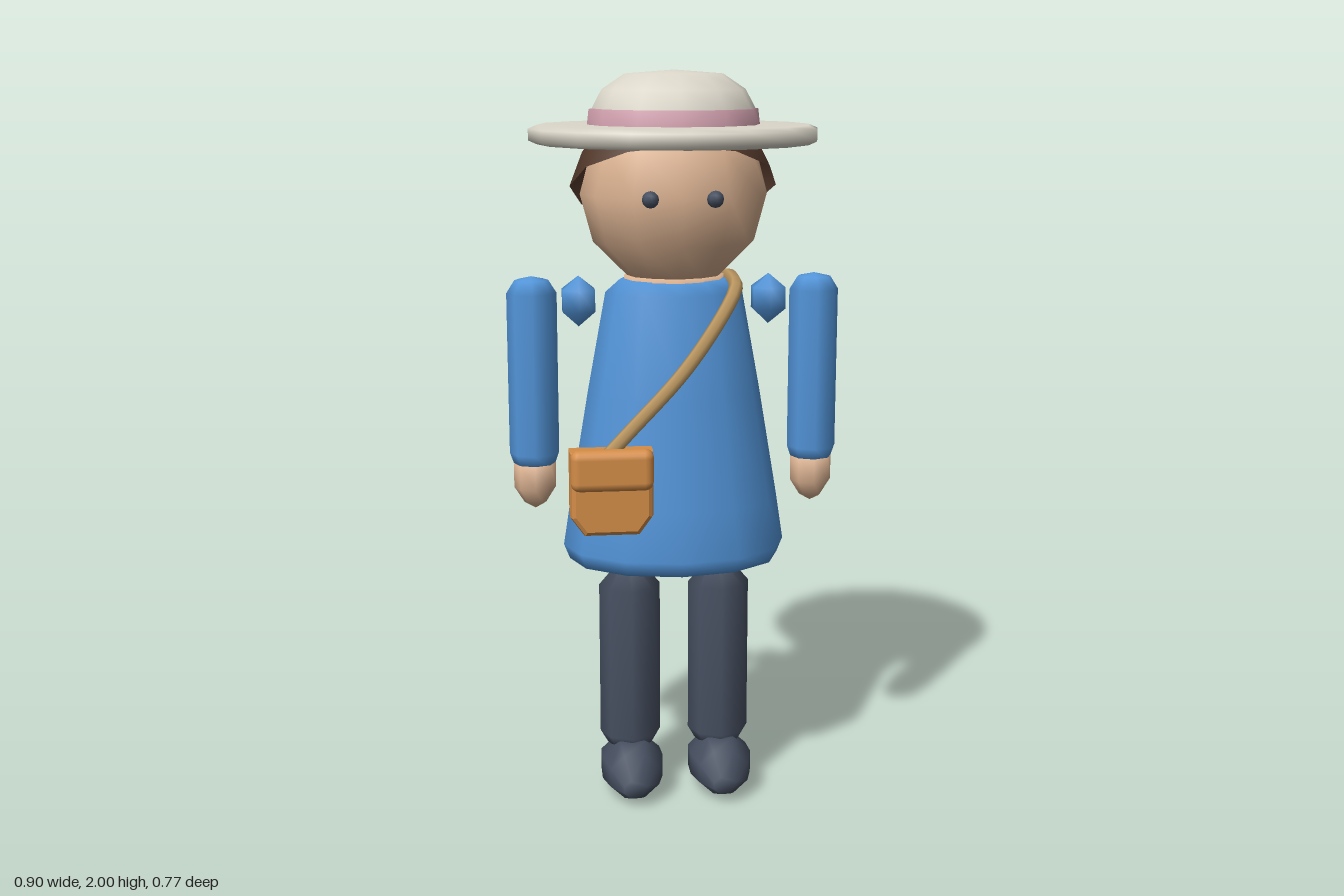
import * as THREE from 'three';
import { RoundedBoxGeometry } from 'three/addons/geometries/RoundedBoxGeometry.js';

const mat = (name, color, side = THREE.FrontSide) => {
  const m = new THREE.MeshStandardMaterial({ color, side });
  m.name = name;
  return m;
};

export function createModel() {
  const model = new THREE.Group();
  model.name = 'travellerFigure';
  const blue = mat('blueCloth', 0x5294d8);
  const cream = mat('creamFelt', 0xdcd7ca);
  const pink = mat('pinkRibbon', 0xd09fad);
  const brown = mat('brownHair', 0x553a2c, THREE.DoubleSide);
  const skin = mat('skin', 0xdcb392);
  const tan = mat('tanStrap', 0xb9955f);
  const orange = mat('orangeLeather', 0xd48d48);
  const slate = mat('slateCloth', 0x464f60);

  const add = (name, geo, material, x = 0, y = 0, z = 0) => {
    const mesh = new THREE.Mesh(geo, material);
    mesh.name = name;
    mesh.position.set(x, y, z);
    model.add(mesh);
    return mesh;
  };
  // Turned part from a [radius, height] profile, listed bottom to top
  const lathe = (pts, sides, depth = 1) =>
    new THREE.LatheGeometry(pts.map(([r, y]) => new THREE.Vector2(r, y)), sides).scale(1, 1, depth);

  // Closed loft along z; each section is [z, halfWidth, bottom, top]
  const loft = (sections, n) => {
    const pos = [], index = [];
    for (const [z, w, lo, hi] of sections) {
      for (let i = 0; i < n; i++) {
        const a = ((i + 0.5) / n) * Math.PI * 2;
        const k = 1 / Math.cos(Math.PI / n);
        pos.push(Math.cos(a) * w * k, (lo + hi) / 2 + Math.sin(a) * k * (hi - lo) / 2, z);
      }
    }
    for (let s = 0; s < sections.length - 1; s++) {
      for (let i = 0; i < n; i++) {
        const a = s * n + i, b = s * n + (i + 1) % n;
        index.push(a, b, b + n, a, b + n, a + n);
      }
    }
    const last = (sections.length - 1) * n;
    for (let i = 1; i < n - 1; i++) {
      index.push(0, i + 1, i, last, last + i, last + i + 1);
    }
    const geo = new THREE.BufferGeometry();
    geo.setAttribute('position', new THREE.Float32BufferAttribute(pos, 3));
    geo.setIndex(index);
    geo.computeVertexNormals();
    return geo;
  };

  // Hat
  add('hatBrim', lathe([[0, 1.81], [0.36, 1.81], [0.383, 1.82], [0.383, 1.85], [0.36, 1.86], [0.19, 1.86]], 16), cream);
  add('hatCrown', lathe([[0.225, 1.85], [0.217, 1.9], [0.19, 1.95], [0.13, 1.99], [0, 2]], 12, 0.95), cream);
  add('hatBand', lathe([[0.23, 1.85], [0.224, 1.9], [0.21, 1.902]], 12, 0.94), pink);

  // Head, hair cap tilted back, eyes and neck
  add('head', new THREE.SphereGeometry(0.25, 12, 6).scale(1, 1, 0.86), skin, 0, 1.68, 0);
  const hair = add('hair', new THREE.SphereGeometry(1, 12, 3, 0, Math.PI * 2, 0, Math.PI / 2).scale(0.276, 0.195, 0.257), brown, 0, 1.7, -0.012);
  hair.rotation.x = -0.46;
  add('neck', lathe([[0.13, 1.42], [0.135, 1.465], [0, 1.467]], 12, 0.8), skin);

  // Dress with a hollow hem
  add('dress', lathe([
    [0, 0.76], [0.22, 0.74], [0.25, 0.685], [0.29, 0.68], [0.306, 0.72],
    [0.286, 0.85], [0.235, 1.15], [0.185, 1.42], [0.145, 1.455], [0, 1.458],
  ], 12, 0.72), blue);

  // Paired parts
  for (const [label, s] of [['left', 1], ['right', -1]]) {
    add(label + 'Eye', new THREE.SphereGeometry(0.022, 8, 6), slate, s * 0.083, 1.68, 0.204);
    add(label + 'Shoulder', lathe([[0, 1.328], [0.05, 1.37], [0.05, 1.428], [0, 1.465]], 6), blue, s * 0.257, 0, 0);
    add(label + 'Arm', lathe([
      [0, 0.945], [0.055, 0.95], [0.067, 0.985], [0.067, 1.42], [0.045, 1.455], [0, 1.465],
    ], 8), blue, s * 0.382, 0, 0);
    add(label + 'Hand', lathe([
      [0, 0.828], [0.03, 0.845], [0.057, 0.888], [0.057, 0.96], [0, 0.97],
    ], 8), skin, s * 0.382, 0, 0);
    add(label + 'Leg', lathe([
      [0, 0.125], [0.065, 0.13], [0.085, 0.165], [0.085, 0.6], [0.025, 0.67], [0, 0.68],
    ], 8), slate, s * 0.125, 0, 0);
    add(label + 'Shoe', loft([
      [-0.08, 0.045, 0.005, 0.13], [-0.01, 0.083, 0, 0.145], [0.07, 0.085, 0.005, 0.155],
      [0.135, 0.068, 0.015, 0.14], [0.172, 0.032, 0.03, 0.08],
    ], 8), slate, s * 0.125, 0, 0);
  }

  // Shoulder bag: chamfered pouch, flap and strap over the left shoulder
  const outline = new THREE.Shape([
    [-0.065, 0.835], [0.065, 0.835], [0.094, 0.875], [0.094, 1.03], [-0.094, 1.03], [-0.094, 0.875],
  ].map(([x, y]) => new THREE.Vector2(x, y)));
  const pouch = new THREE.ExtrudeGeometry(outline, {
    depth: 0.05, bevelThickness: 0.025, bevelSize: 0.014, bevelSegments: 2,
  });
  add('bagPouch', pouch, orange, -0.192, 0, 0.213);
  add('bagFlap', new RoundedBoxGeometry(0.215, 0.11, 0.055, 2, 0.024), orange, -0.192, 1.0, 0.287);
  const strapPath = new THREE.CatmullRomCurve3([
    [-0.2, 1.03, 0.25], [-0.14, 1.09, 0.237], [0, 1.23, 0.2], [0.1, 1.36, 0.163],
    [0.15, 1.435, 0.11], [0.155, 1.455, 0.02], [0.145, 1.45, -0.07], [0.13, 1.41, -0.11],
  ].map((p) => new THREE.Vector3(...p)));
  add('bagStrap', new THREE.TubeGeometry(strapPath, 24, 0.019, 6), tan);

  return model;
}
